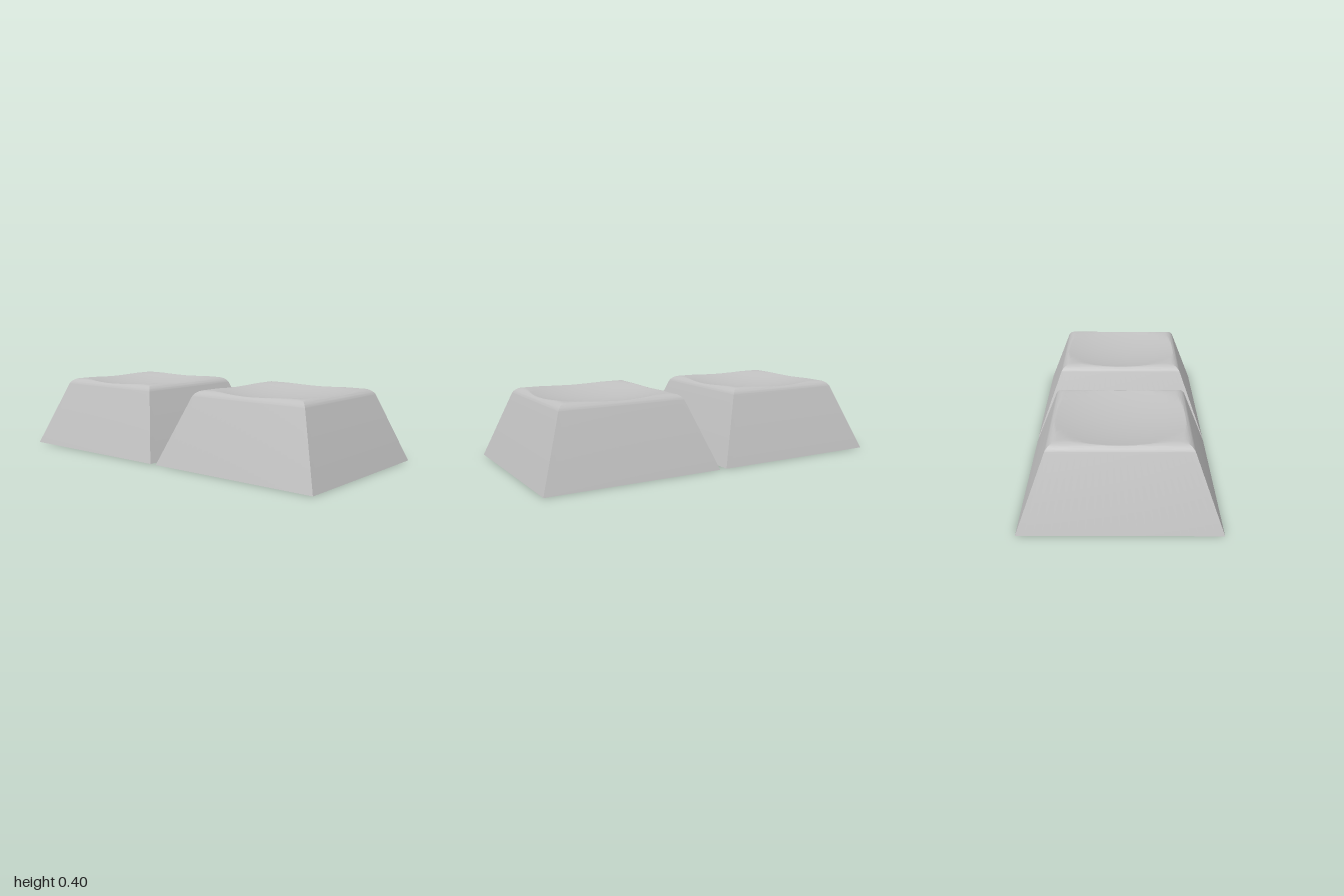
import * as THREE from 'three';
import { toCreasedNormals } from 'three/addons/utils/BufferGeometryUtils.js';

const SIDE_STEPS = 24;

// Spherical dish pressed into the top
const dish = (x, z) => 0.355 + (x * x + z * z) / 3;

// Section of the hollow cap as [half size, height], from top centre to ceiling centre
function capSection() {
  const rings = [];
  for (let i = 0; i < 12; i++) rings.push([0.3 * i / 12, 0.4]);
  const r = 0.057, steps = 14;
  for (let i = 0; i <= steps; i++) {
    const a = THREE.MathUtils.degToRad(90 - 69.3 * i / steps);
    rings.push([0.3 + r * Math.cos(a), 0.4 - r + r * Math.sin(a)]);
  }
  rings.push([0.49, 0], [0.4, 0], [0.28, 0.31], [0, 0.31]);
  return rings;
}

// Unit square outline, counterclockwise from above
function squareOutline() {
  const corners = [[-1, 1], [1, 1], [1, -1], [-1, -1]];
  const points = [];
  corners.forEach(([x, z], k) => {
    const [nx, nz] = corners[(k + 1) % 4];
    for (let i = 0; i < SIDE_STEPS; i++) {
      const t = i / SIDE_STEPS;
      points.push([x + (nx - x) * t, z + (nz - z) * t]);
    }
  });
  return points;
}

// Loft the square rings into one closed shell
function capGeometry() {
  const section = capSection(), outline = squareOutline();
  const rings = section.map(([s, y]) => outline.map(([u, v]) =>
    [u * s, Math.min(y, dish(u * s, v * s)), v * s]));
  const position = [];
  for (let i = 0; i < rings.length - 1; i++) {
    for (let j = 0; j < outline.length; j++) {
      const k = (j + 1) % outline.length;
      const a = rings[i][j], b = rings[i + 1][j], c = rings[i + 1][k], d = rings[i][k];
      if (section[i + 1][0] > 0) position.push(...a, ...b, ...c);
      if (section[i][0] > 0) position.push(...a, ...c, ...d);
    }
  }
  const geometry = new THREE.BufferGeometry();
  geometry.setAttribute('position', new THREE.Float32BufferAttribute(position, 3));
  return toCreasedNormals(geometry, 0.6);
}

export function createModel() {
  const plastic = new THREE.MeshStandardMaterial({ color: 0xc0c0c0 });
  plastic.name = 'greyPlastic';

  const shell = capGeometry();
  const post = new THREE.CylinderGeometry(0.145, 0.145, 0.145, 48);

  const model = new THREE.Group();
  model.name = 'keycapPair';
  for (const side of [-1, 1]) {
    const keycap = new THREE.Group();
    keycap.name = side < 0 ? 'rightKeycap' : 'leftKeycap';
    keycap.position.x = side * 0.51;

    const cap = new THREE.Mesh(shell, plastic);
    cap.name = 'capShell';

    // Round post hanging from the ceiling
    const stem = new THREE.Mesh(post, plastic);
    stem.name = 'stem';
    stem.position.y = 0.17 + 0.145 / 2;

    keycap.add(cap, stem);
    model.add(keycap);
  }
  return model;
}
